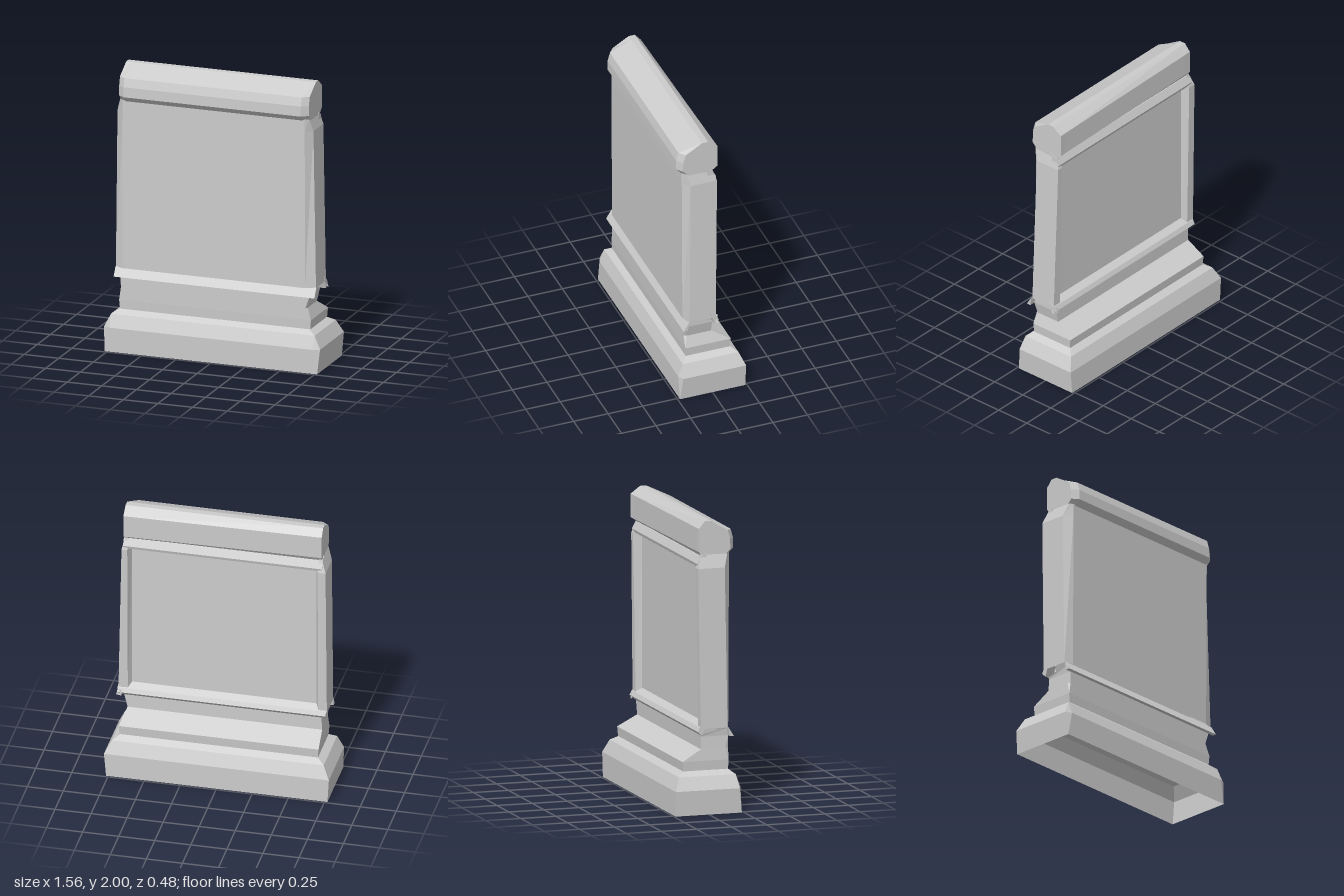
import * as THREE from 'three';

const material = new THREE.MeshStandardMaterial({
  color: 0xcccccc, flatShading: true, side: THREE.DoubleSide,
});

// Skin a row of equal-length closed rings of [x, y, z]; optionally fan-cap both ends.
function loft(name, rings, caps = false) {
  const pos = [];
  const tri = (...pts) => pts.forEach((p) => pos.push(...p));
  const n = rings[0].length;
  for (let r = 0; r < rings.length - 1; r++) {
    for (let i = 0; i < n; i++) {
      const j = (i + 1) % n;
      const [a, b, c, d] = [rings[r][i], rings[r][j], rings[r + 1][j], rings[r + 1][i]];
      tri(a, b, c);
      tri(a, c, d);
    }
  }
  if (caps) {
    const first = rings[0], last = rings[rings.length - 1];
    for (let i = 1; i < n - 1; i++) {
      tri(first[0], first[i + 1], first[i]);
      tri(last[0], last[i], last[i + 1]);
    }
  }
  const geometry = new THREE.BufferGeometry();
  geometry.setAttribute('position', new THREE.Float32BufferAttribute(pos, 3));
  geometry.computeVertexNormals();
  const mesh = new THREE.Mesh(geometry, material);
  mesh.name = name;
  return mesh;
}

// Horizontal ring, counter-clockwise from above, with cut front corners.
function blockRing(y, x0, x1, front, back, cutX = 0, cutZ = 0) {
  return [
    [x0 + cutX, y, front], [x1 - cutX, y, front], [x1, y, front - cutZ],
    [x1, y, back], [x0, y, back], [x0, y, front - cutZ],
  ];
}

// Ring for the slab: chamfered front corners, recessed back panel between posts.
function slabRing(y, x0, x1, front, side, back) {
  return [
    [-0.66, y, front], [0.655, y, front], [x1, y, side], [x1, y, back],
    [0.66, y, back], [0.64, y, 0], [-0.64, y, 0], [-0.66, y, back],
    [x0, y, back], [x0, y, side],
  ];
}

// Moulding: a [z, y] profile, clockwise as seen from +x, swept along x.
function moulding(name, profile, x0, x1) {
  const ring = (x) => profile.map(([z, y]) => [x, y, z]);
  return loft(name, [ring(x0), ring(x1)], true);
}

export function createModel() {
  const model = new THREE.Group();
  model.name = 'stoneSlab';

  // Hollow plinth, open underneath
  model.add(loft('plinth', [
    blockRing(0, -0.77, 0.765, 0.235, -0.238),
    blockRing(0.17, -0.78, 0.78, 0.237, -0.238, 0.045, 0.02),
    blockRing(0.26, -0.735, 0.735, 0.203, -0.2),
    blockRing(0.29, -0.685, 0.685, 0.165, -0.155),
  ]));

  // Neck, with a sloped step at the back
  const neckTop = blockRing(0.57, -0.685, 0.685, 0.155, -0.028);
  neckTop[3][1] = neckTop[4][1] = 0.535;
  model.add(loft('neck', [
    blockRing(0.29, -0.685, 0.69, 0.165, -0.155),
    blockRing(0.355, -0.69, 0.695, 0.168, -0.16),
    blockRing(0.435, -0.685, 0.665, 0.168, -0.028, 0.01, 0.02),
    blockRing(0.52, -0.68, 0.685, 0.168, -0.028),
    neckTop,
  ]));

  // Ledges at the foot of the slab
  model.add(moulding('frontLedge', [
    [0.165, 0.52], [0.195, 0.52], [0.155, 0.585],
  ].reverse(), -0.72, 0.73));
  model.add(moulding('backLedge', [
    [0, 0.62], [-0.045, 0.59], [-0.06, 0.56], [-0.028, 0.53],
  ].reverse(), -0.715, 0.73));

  // Slab with chamfered front edges and back posts
  model.add(loft('slab', [
    slabRing(0.58, -0.72, 0.725, 0.175, 0.15, -0.04),
    slabRing(1.68, -0.715, 0.7, 0.18, 0.132, -0.058),
    slabRing(1.77, -0.685, 0.68, 0.18, 0.16, -0.03),
  ]));

  // Rail across the top of the recessed back panel
  model.add(moulding('backTopRail', [
    [0.01, 1.78], [-0.03, 1.76], [-0.056, 1.71], [-0.05, 1.69], [0, 1.66],
  ].reverse(), -0.69, 0.69));

  // Cornice, with front and end edges drawn in
  const cornice = [
    [-0.02, 1.755], [0.178, 1.76], [0.217, 1.8], [0.215, 1.87],
    [0.198, 1.93], [0.045, 2], [0, 2], [-0.06, 1.95], [-0.06, 1.79],
  ];
  const corniceRing = (x, pull, skew) => cornice.map(([z, y]) => [
    x, y, z > 0.1 ? z - pull : z < -0.04 ? z + skew : z,
  ]);
  model.add(loft('cornice', [
    corniceRing(-0.685, 0.035, 0.018),
    corniceRing(-0.64, 0, 0.016),
    corniceRing(0.64, 0, -0.006),
    corniceRing(0.685, 0.035, -0.008),
  ], true));

  // Chipped corner at the ledge end
  model.add(loft('chippedCorner', [
    [[0.7, 0.535, -0.06], [0.7, 0.585, -0.06], [0.7, 0.57, -0.03]],
    [[0.74, 0.535, -0.05], [0.73, 0.57, -0.05], [0.73, 0.55, -0.03]],
  ], true));

  return model;
}
